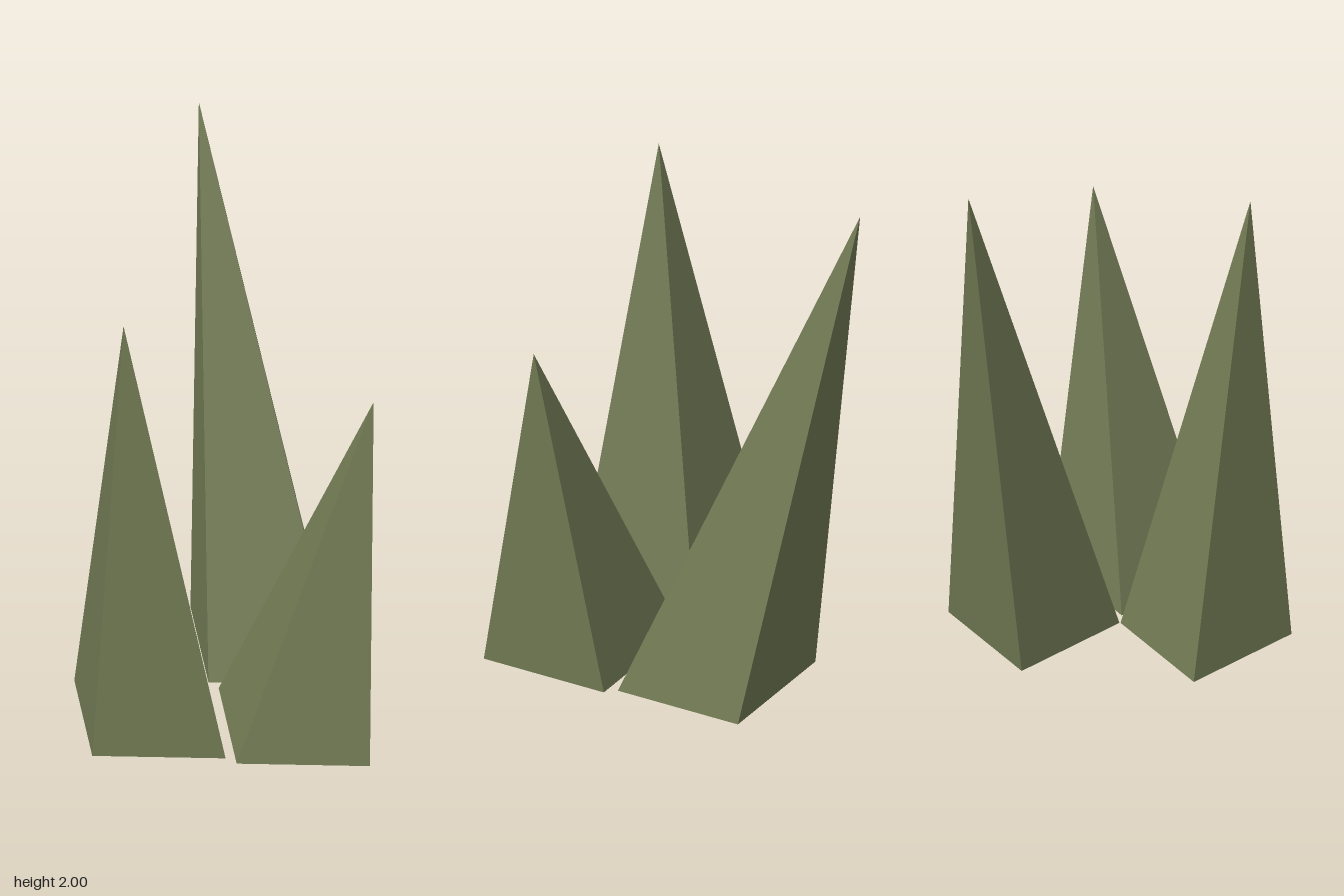
import * as THREE from 'three';

const HALF_WIDTH = 0.355;
const HALF_DEPTH = 0.3;

// Four-sided spike on a diamond base, leaning so its tip reaches the given point
function spikeGeometry(baseX, baseZ, tip) {
  const geometry = new THREE.ConeGeometry(1, 1, 4).translate(0, 0.5, 0).toNonIndexed();
  const position = geometry.attributes.position;
  for (let i = 0; i < position.count; i++) {
    const t = position.getY(i);
    position.setXYZ(
      i,
      baseX + position.getX(i) * HALF_WIDTH + (tip[0] - baseX) * t,
      tip[1] * t,
      baseZ + position.getZ(i) * HALF_DEPTH + (tip[2] - baseZ) * t
    );
  }
  // Unshared corners give every face its own flat normal
  geometry.computeVertexNormals();
  return geometry;
}

export function createModel() {
  const group = new THREE.Group();
  group.name = 'spikeCluster';

  const olive = new THREE.MeshStandardMaterial({ color: 0x717a54 });
  olive.name = 'olive green';

  // name, base centre x, base centre z, tip
  const spikes = [
    ['backSpike', -0.145, -0.302, [-0.617, 2, -0.475]],
    ['frontSpike', -0.145, 0.302, [-0.13, 1.757, 0.456]],
    ['leftSpike', 0.26, 0, [0.479, 1.395, -0.17]],
  ];
  for (const [name, x, z, tip] of spikes) {
    const spike = new THREE.Mesh(spikeGeometry(x, z, tip), olive);
    spike.name = name;
    group.add(spike);
  }
  return group;
}
